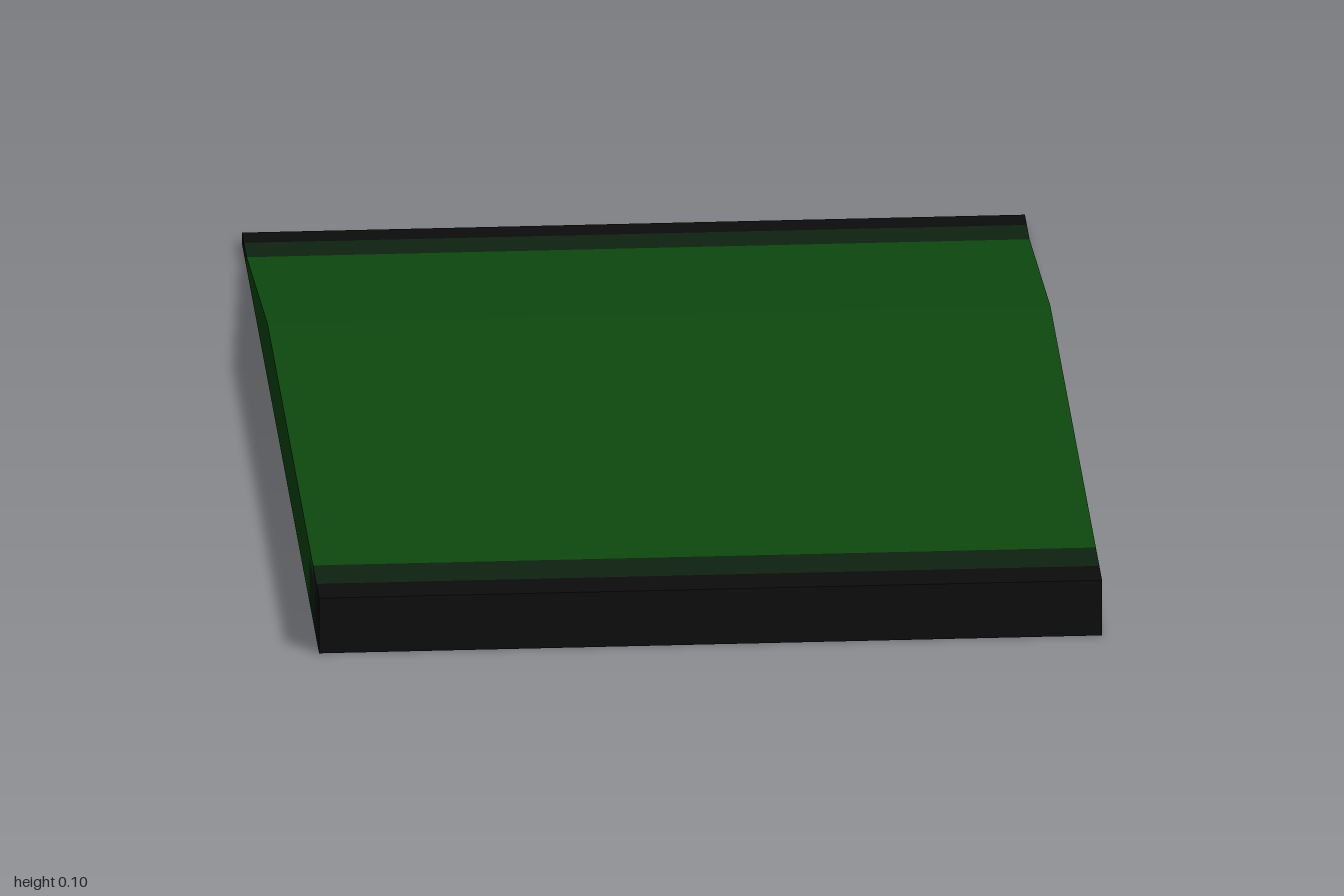
import * as THREE from 'three';

const WIDTH = 1.334;

// Extrude a (z, y) side profile across the full width of the mat
function slab(name, profile, material) {
  const shape = new THREE.Shape(profile.map(([z, y]) => new THREE.Vector2(-z, y)));
  const geometry = new THREE.ExtrudeGeometry(shape, { depth: WIDTH, bevelEnabled: false });
  geometry.rotateY(Math.PI / 2);
  geometry.translate(-WIDTH / 2, 0, 0);
  const mesh = new THREE.Mesh(geometry, material);
  mesh.name = name;
  return mesh;
}

export function createModel() {
  const paint = (name, color) => {
    const material = new THREE.MeshStandardMaterial({ color });
    material.name = name;
    return material;
  };
  const green = paint('green', 0x0e4a0f);
  const darkGreen = paint('dark green', 0x0e2210);
  const black = paint('black', 0x0d0c0d);

  const H = 0.1;     // full height
  const STEP = 0.08; // where the front bands shift on the sides
  const LIP = 0.02;  // thin rear edge

  const model = new THREE.Group();
  model.name = 'wedgeRamp';
  model.add(
    // Main slab with the sloped rear
    slab('body', [[0.75, 0], [0.75, STEP], [0.84, STEP], [0.84, H],
      [-0.34, H], [-0.88, LIP], [-0.88, 0]], green),
    // Front bands, stepped on their sides
    slab('frontBand', [[0.9, 0], [0.9, STEP], [0.93, STEP], [0.93, H],
      [0.84, H], [0.84, STEP], [0.75, STEP], [0.75, 0]], darkGreen),
    slab('frontEdge', [[1, 0], [1, H], [0.93, H], [0.93, STEP], [0.9, STEP], [0.9, 0]], black),
    // Rear lip bands
    slab('rearBand', [[-0.88, 0], [-0.88, LIP], [-0.95, LIP], [-0.95, 0]], darkGreen),
    slab('rearEdge', [[-0.95, 0], [-0.95, LIP], [-1, LIP], [-1, 0]], black),
  );
  return model;
}
